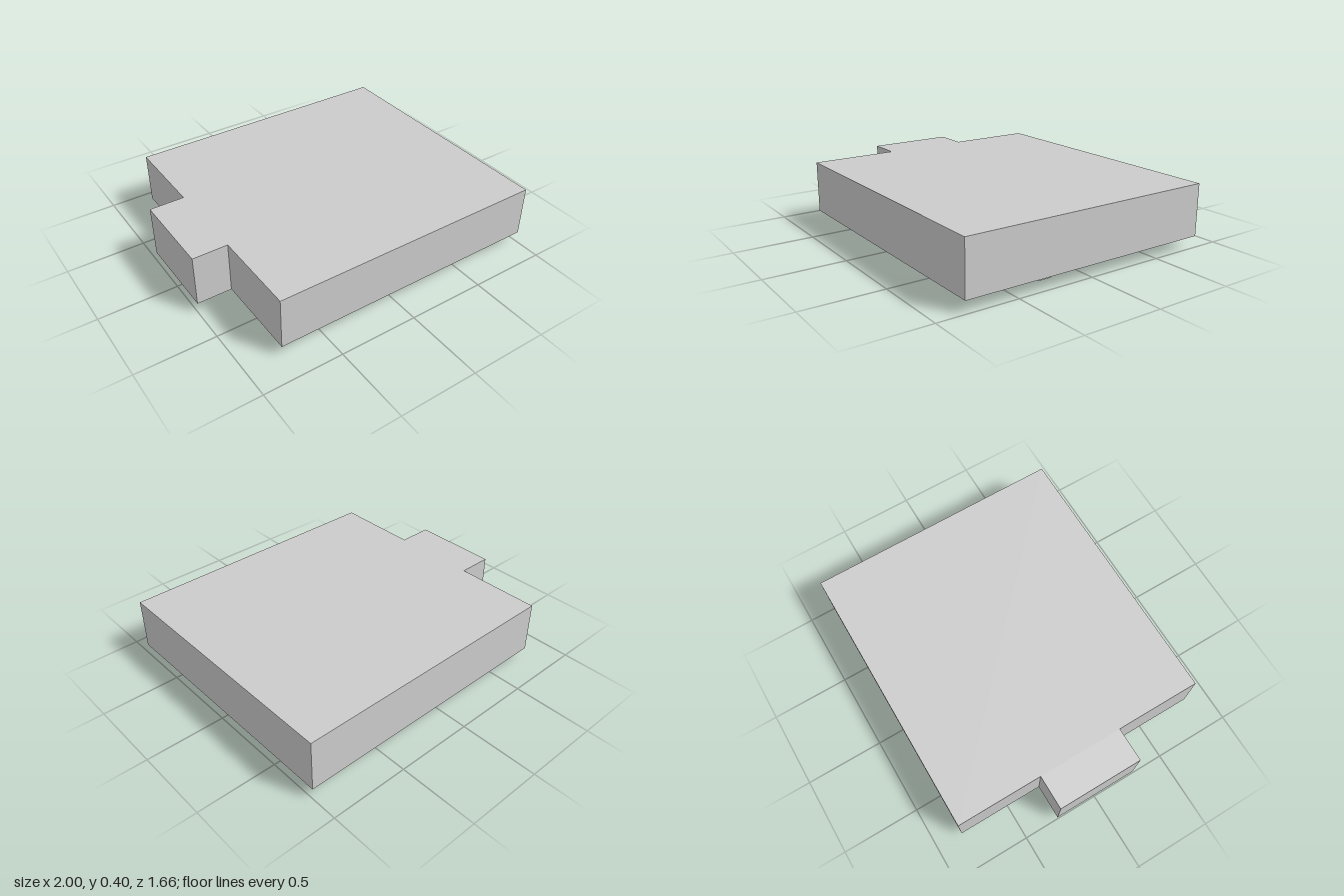
import * as THREE from 'three';

export function createModel() {
  const group = new THREE.Group();
  const material = new THREE.MeshStandardMaterial({ color: 0xcccccc, flatShading: true });
  const base = 0.073, top = 0.403;

  // Slab with a tab on its right side, drawn in plan (x, -z) and raised upward
  const plan = new THREE.Shape([
    [1, -0.83], [1, 0.83], [-0.78, 0.83], [-0.78, 0.277],
    [-1, 0.277], [-1, -0.277], [-0.78, -0.277], [-0.78, -0.83],
  ].map(([x, y]) => new THREE.Vector2(x, y)));
  const slabGeometry = new THREE.ExtrudeGeometry(plan, { depth: top - base, bevelEnabled: false });
  slabGeometry.rotateX(-Math.PI / 2);
  const slab = new THREE.Mesh(slabGeometry, material);
  slab.name = 'slab';
  slab.position.y = base;
  group.add(slab);

  // Three small pegs under the slab: centre x, centre z, foot height
  const pegs = [[0.43, 0.232, 0], [0.62, 0.24, 0.01], [0.83, 0.232, 0]];
  pegs.forEach(([x, z, foot], i) => {
    const height = base - foot;
    const peg = new THREE.Mesh(new THREE.BoxGeometry(0.088, height, 0.085), material);
    peg.name = `peg${i + 1}`;
    peg.position.set(x, foot + height / 2, z);
    group.add(peg);
  });

  return group;
}
